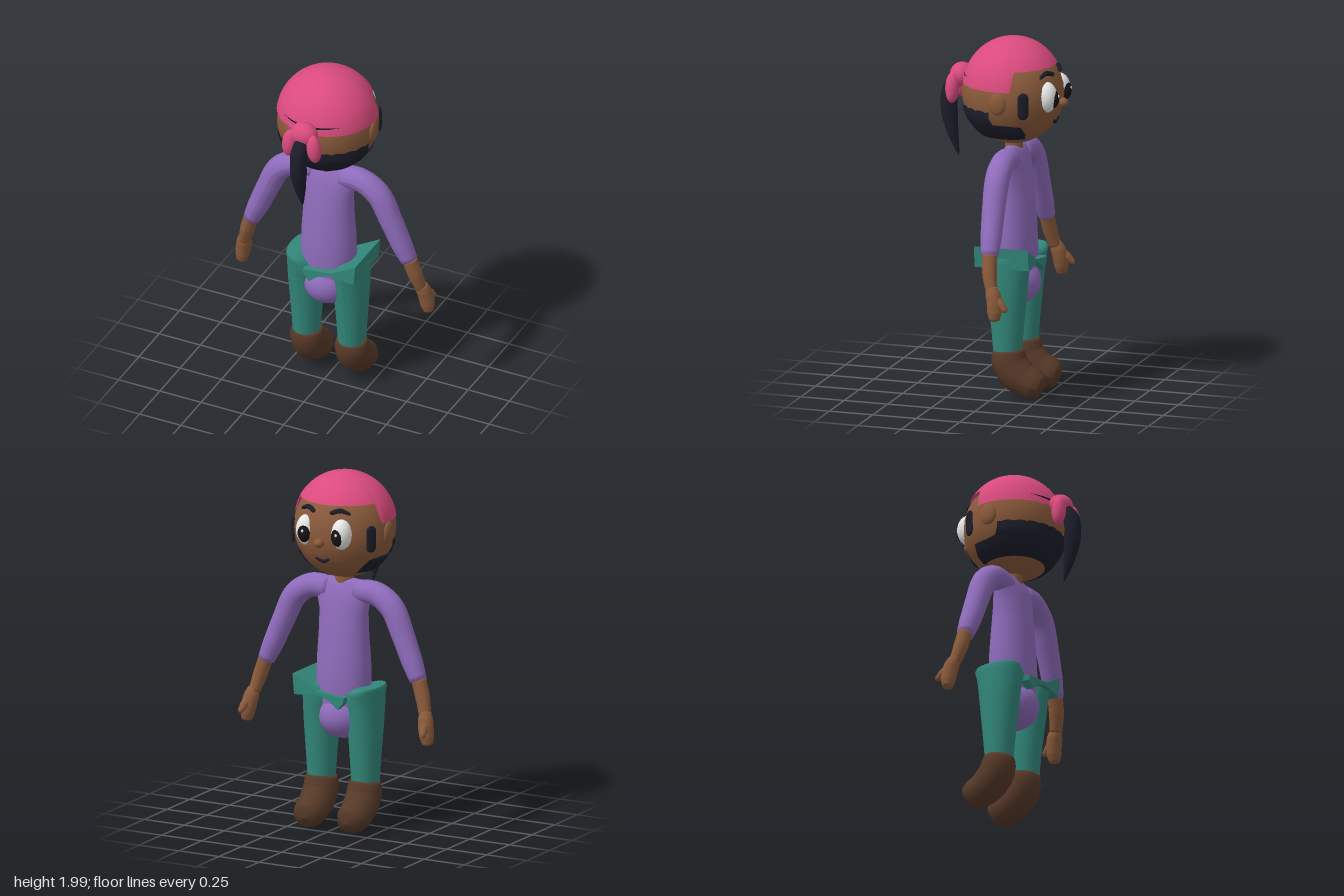
import * as THREE from 'three';

const mat = (name, color, double) => {
  const m = new THREE.MeshStandardMaterial({ color });
  m.name = name;
  if (double) m.side = THREE.DoubleSide;
  return m;
};

// Linear interpolation through a list of numbers, t from 0 to 1
const sample = (list, t) => {
  const f = Math.min(Math.max(t, 0), 1) * (list.length - 1);
  const i = Math.min(Math.floor(f), list.length - 2);
  return THREE.MathUtils.lerp(list[i], list[i + 1], f - i);
};

// Tube along a smooth path with changing radius and closed ends
function limb(points, radii, steps = 20, sides = 14) {
  const curve = new THREE.CatmullRomCurve3(points.map(p => new THREE.Vector3(...p)));
  const geo = new THREE.TubeGeometry(curve, steps, 1, sides);
  const pos = geo.attributes.position, v = new THREE.Vector3();
  for (let i = 0; i < pos.count; i++) {
    const ring = Math.floor(i / (sides + 1));
    const c = curve.getPointAt(ring / steps);
    const r = ring === 0 || ring === steps ? 0.001 : sample(radii, ring / steps);
    v.fromBufferAttribute(pos, i).sub(c).multiplyScalar(r).add(c);
    pos.setXYZ(i, v.x, v.y, v.z);
  }
  geo.computeVertexNormals();
  return geo;
}

// Stack of level ellipses, bottom to top: [y, centreX, centreZ, radiusX, radiusZ]
function loft(rings, sides = 24) {
  const geo = new THREE.CylinderGeometry(1, 1, 1, sides, rings.length - 1);
  const pos = geo.attributes.position;
  for (let i = 0; i < pos.count; i++) {
    const [y, cx, cz, rx, rz] = rings[Math.round((pos.getY(i) + 0.5) * (rings.length - 1))];
    pos.setXYZ(i, cx + pos.getX(i) * rx, y, cz + pos.getZ(i) * rz);
  }
  geo.computeVertexNormals();
  return geo;
}

// Grid bent by a rule (u, v) -> [x, y, z]
function sheet(nu, nv, rule) {
  const geo = new THREE.PlaneGeometry(1, 1, nu, nv);
  const pos = geo.attributes.position;
  for (let i = 0; i < pos.count; i++) {
    pos.setXYZ(i, ...rule(pos.getX(i) + 0.5, pos.getY(i) + 0.5));
  }
  geo.computeVertexNormals();
  return geo;
}

const HEAD = { y: 1.69, z: -0.05, r: 0.28 };
// Point on the face at x, y, raised a little above the skin
const onFace = (x, y, lift = 0) => {
  const r = HEAD.r + lift, dy = y - HEAD.y;
  return [x, y, HEAD.z - Math.sqrt(r * r - x * x - dy * dy)];
};

export function createModel() {
  const model = new THREE.Group();
  model.name = 'character';
  const skin = mat('brown skin', 0x8a5a3b);
  const pink = mat('pink bandana', 0xda4b7d, true);
  const hair = mat('dark hair', 0x1c1d2b, true);
  const purple = mat('purple shirt', 0x8f6cbc);
  const teal = mat('teal trousers', 0x32877a);
  const boot = mat('brown boots', 0x573928);
  const white = mat('eye white', 0xececec);
  const black = mat('pupil black', 0x161415);

  const add = (name, geo, material) => {
    const m = new THREE.Mesh(geo, material);
    m.name = name;
    model.add(m);
    return m;
  };
  const ball = (name, material, p, s) => {
    const m = add(name, new THREE.SphereGeometry(1, 24, 16), material);
    m.position.set(...p);
    m.scale.set(...s);
    return m;
  };

  // Head and neck
  ball('head', skin, [0, HEAD.y, HEAD.z], [HEAD.r, HEAD.r, HEAD.r]);
  add('neck', loft([[1.36, 0, -0.055, 0.055, 0.05], [1.47, 0, -0.055, 0.05, 0.05]]), skin);
  ball('nose', skin, [0, 1.655, -0.338], [0.028, 0.026, 0.028]);
  add('mouth', limb([onFace(-0.045, 1.563, 0.003), onFace(0, 1.543, 0.003), onFace(0.045, 1.563, 0.003)],
    [0.006, 0.01, 0.006], 12, 8), hair);

  // Hair shell: each level wraps forward to a chosen depth
  const levels = [[1.80, 0.05], [1.6, 0.05], [1.56, 0.03], [1.55, -0.12], [1.50, -0.13], [1.466, -0.115], [1.466, -0.105]];
  add('hair', sheet(40, levels.length - 1, (u, v) => {
    const row = Math.round((1 - v) * (levels.length - 1));
    const [y, cut] = levels[row];
    const r = row === levels.length - 1 ? 0.255 : 0.288;
    const ring = Math.sqrt(r * r - (y - HEAD.y) ** 2);
    const a = Math.acos(Math.max(cut / ring, -0.95)) * (2 * u - 1);
    return [ring * Math.sin(a), y, HEAD.z + ring * Math.cos(a)];
  }), hair);

  // Bandana: low round the back, stepping up over the forehead
  add('bandana', sheet(72, 14, (u, v) => {
    const a = (2 * u - 1) * Math.PI, r = 0.284, cy = 1.716;
    const low = Math.abs(a) < 1.84 ? 1.752 : 1.86;
    const t = (1 - v) * Math.acos((low - cy) / r);
    return [r * Math.sin(t) * Math.sin(a), cy + r * Math.cos(t), HEAD.z + r * 0.97 * Math.sin(t) * Math.cos(a)];
  }), pink);
  ball('bandanaKnot', pink, [0, 1.765, 0.245], [0.078, 0.068, 0.065]);
  add('ponytail', limb([[0, 1.77, 0.25], [0, 1.68, 0.31], [0, 1.57, 0.318], [0, 1.43, 0.295], [0, 1.31, 0.262]],
    [0.03, 0.046, 0.046, 0.03, 0.004]), hair);

  // Torso and hips
  add('torso', loft([
    [0.66, 0, -0.06, 0.14, 0.11], [0.8, 0, -0.06, 0.16, 0.125], [0.95, 0, -0.06, 0.157, 0.118],
    [1.1, 0, -0.06, 0.147, 0.106], [1.22, 0, -0.06, 0.145, 0.092], [1.3, 0, -0.06, 0.165, 0.076],
    [1.36, 0, -0.06, 0.18, 0.058], [1.395, 0, -0.06, 0.15, 0.035], [1.402, 0, -0.06, 0.08, 0.02],
  ]), purple);
  ball('hips', purple, [0, 0.635, -0.06], [0.142, 0.132, 0.145]);

  // Slanted waist flap, rising to the left hip
  const flap = new THREE.Shape([[0.235, 0.867], [0.09, 0.785], [-0.03, 0.768], [-0.085, 0.765],
    [-0.08, 0.735], [-0.045, 0.695], [0, 0.735], [0.08, 0.765], [0.225, 0.75]].map(p => new THREE.Vector2(...p)));
  const flapGeo = new THREE.ExtrudeGeometry(flap, { depth: 0.31, bevelEnabled: false });
  flapGeo.translate(0, 0, -0.215);
  add('waistFlap', flapGeo, teal);

  for (const s of [1, -1]) {
    const side = s > 0 ? 'left' : 'right';
    const m = pts => pts.map(([x, y, z]) => [s * x, y, z]);

    // Face details
    ball(side + 'Ear', skin, [s * 0.272, 1.685, -0.052], [0.022, 0.062, 0.05]);
    ball(side + 'Eye', white, [s * 0.108, 1.705, -0.275], [0.06, 0.087, 0.065]).rotation.y = s * -0.25;
    ball(side + 'Pupil', black, [s * 0.105, 1.697, -0.31], [0.04, 0.055, 0.038]).rotation.y = s * -0.25;
    ball(side + 'EyeGlint', white, [s * 0.105 - 0.004, 1.712, -0.344], [0.008, 0.009, 0.006]);
    add(side + 'Eyebrow', limb([onFace(s * 0.045, 1.818, 0.006), onFace(s * 0.1, 1.835, 0.006),
      onFace(s * 0.155, 1.815, 0.006)], [0.012, 0.014, 0.008], 12, 8), hair);
    const burn = add(side + 'Sideburn', new THREE.CapsuleGeometry(0.03, 0.09, 6, 14), hair);
    burn.position.set(s * 0.243, 1.675, -0.19);
    burn.scale.x = 0.4;
    burn.rotation.y = s * 0.52;
    ball(side + 'KnotLobe', pink, [s * 0.074, 1.705, 0.275], [0.042, 0.085, 0.038]).rotation.z = s * 0.1;

    // Arm
    add(side + 'Sleeve', limb(m([[0.06, 1.335, -0.06], [0.2, 1.335, -0.06], [0.3, 1.27, -0.062],
      [0.37, 1.13, -0.066], [0.43, 0.99, -0.072], [0.485, 0.865, -0.08]]),
      [0.062, 0.066, 0.068, 0.066, 0.062, 0.058, 0.045], 28, 18), purple);
    add(side + 'Forearm', limb(m([[0.475, 0.9, -0.078], [0.51, 0.79, -0.09], [0.535, 0.7, -0.11]]),
      [0.042, 0.041, 0.033]), skin);
    add(side + 'Hand', limb(m([[0.535, 0.73, -0.105], [0.55, 0.65, -0.13], [0.568, 0.54, -0.137]]),
      [0.03, 0.042, 0.043, 0.04, 0.026]), skin);
    add(side + 'Thumb', limb(m([[0.548, 0.68, -0.13], [0.562, 0.635, -0.175], [0.57, 0.6, -0.207]]),
      [0.022, 0.024, 0.014], 12, 10), skin);

    // Trouser leg
    add(side + 'TrouserLeg', loft([
      [0.26, s * 0.137, -0.065, 0.076, 0.078], [0.4, s * 0.137, -0.065, 0.084, 0.09],
      [0.6, s * 0.137, -0.062, 0.096, 0.113], [0.7, s * 0.14, -0.06, 0.095, 0.125],
      [0.77, s * 0.132, -0.06, 0.103, 0.138], [0.8, s * 0.16, -0.06, 0.075, 0.138],
      [0.815, s * 0.175, -0.06, 0.052, 0.12],
    ]), teal);

    // Boot bending forward to the toe
    const x = 0.135;
    add(side + 'Boot', limb(m([[x, 0.295, -0.065], [x, 0.2, -0.08], [x, 0.125, -0.145], [x, 0.075, -0.275]]),
      [0.08, 0.096, 0.098, 0.098, 0.092, 0.086, 0.055], 22, 16), boot);
  }
  return model;
}
